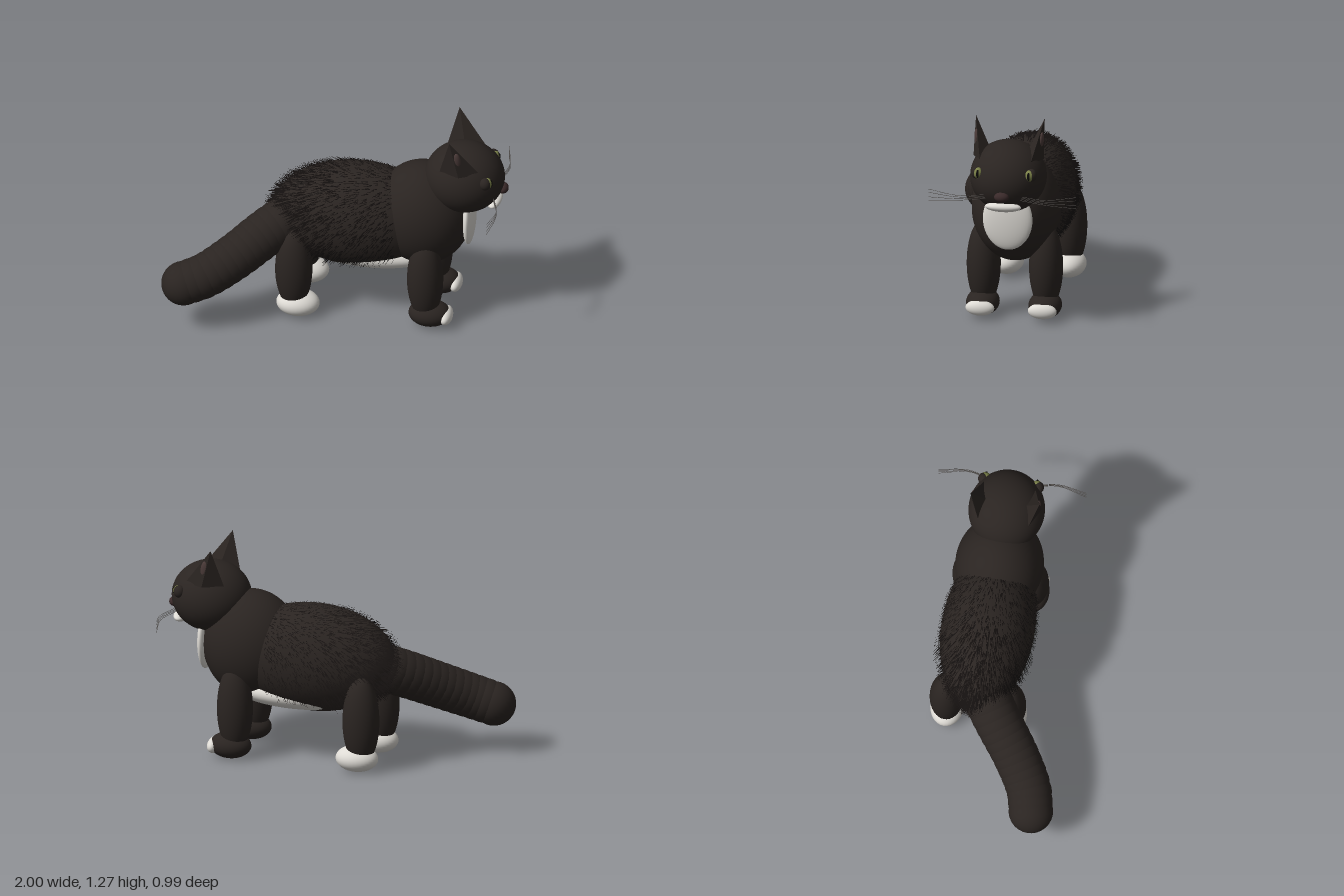
import * as THREE from 'three';

const mat = (color, side = THREE.FrontSide) => new THREE.MeshStandardMaterial({ color, side });
const COAT = mat(0x2a2421), WHITE = mat(0xdedbd5), OLIVE = mat(0x7a8048), BLACK = mat(0x0c0a09);
const NOSE = mat(0x3a2a2a), EAR = mat(0x4a3a38), HAIR = mat(0x14100f, THREE.DoubleSide), WHISKER = mat(0x55514e);
const MID = -0.063; // z of the body's plane of symmetry

const BODY = { c: [0.1, 0.615, 0], r: [0.5, 0.322, 0.275] };

export function createModel() {
  const root = new THREE.Group();
  root.name = 'cat';
  const cat = new THREE.Group();
  cat.name = 'catBody';
  cat.position.z = MID;
  root.add(cat);

  const add = (name, geo, material) => {
    const m = new THREE.Mesh(geo, material);
    m.name = name;
    cat.add(m);
    return m;
  };
  const blob = (name, material, c, r, seg = 32) => {
    const m = add(name, new THREE.SphereGeometry(1, seg, Math.round(seg * 0.75)), material);
    m.position.set(...c);
    m.scale.set(...r);
    return m;
  };

  // Torso, chest and head
  blob('torso', COAT, BODY.c, BODY.r, 48);
  blob('chest', COAT, [0.49, 0.66, 0], [0.29, 0.325, 0.26], 48);
  blob('head', COAT, [0.736, 0.928, 0], [0.237, 0.212, 0.225], 48);
  blob('bib', WHITE, [0.765, 0.665, 0], [0.037, 0.188, 0.148]);
  blob('belly', WHITE, [0.2, 0.4, 0], [0.42, 0.102, 0.2], 40);

  // Face
  blob('nose', NOSE, [0.965, 0.867, 0], [0.032, 0.03, 0.044], 24);
  blob('chin', WHITE, [0.915, 0.79, 0], [0.046, 0.03, 0.108]).rotation.z = 0.2;

  for (const s of [1, -1]) {
    const side = s > 0 ? 'right' : 'left';

    // Eyes
    blob(side + 'EyeRim', COAT, [0.882, 0.985, s * 0.164], [0.034, 0.038, 0.032], 24);
    blob(side + 'Eye', OLIVE, [0.892, 0.985, s * 0.154], [0.03, 0.034, 0.03], 24);
    blob(side + 'Pupil', BLACK, [0.914, 0.985, s * 0.152], [0.012, 0.026, 0.009], 16);

    // Ear: four-sided spike leaning back and outwards
    const ear = new THREE.ConeGeometry(0.12, 0.23, 4, 1).toNonIndexed();
    const p = ear.attributes.position;
    for (let i = 0; i < p.count; i++) {
      const t = p.getY(i) / 0.23 + 0.5;
      p.setXYZ(i, p.getX(i) + 0.73 - 0.055 * t, 1.04 + 0.23 * t, p.getZ(i) * 0.5 + s * (0.15 + 0.055 * t));
    }
    ear.computeVertexNormals();
    add(side + 'Ear', ear, COAT);
    blob(side + 'InnerEar', EAR, [0.713, 1.125, s * 0.184], [0.03, 0.075, 0.02], 24).rotation.x = s * 0.15;

    // Whiskers
    [0.88, 0.86, 0.832, 0.81].forEach((y, i) => {
      const path = new THREE.CatmullRomCurve3([
        new THREE.Vector3(0.92, 0.862 - i * 0.008, s * 0.1),
        new THREE.Vector3(0.963, 0.862 - i * 0.01, s * 0.26),
        new THREE.Vector3(0.932, y, s * 0.44),
      ]);
      add(side + 'Whisker' + (i + 1), new THREE.TubeGeometry(path, 10, 0.0014, 4), WHISKER);
    });

    // Legs and paws
    const z = s * 0.186;
    blob(side + 'FrontLeg', COAT, [0.53, 0.31, z], [0.107, 0.27, 0.1]);
    blob(side + 'FrontPaw', COAT, [0.557, 0.079, z], [0.125, 0.078, 0.098]);
    blob(side + 'FrontToes', WHITE, [0.655, 0.07, z], [0.04, 0.047, 0.086]);
    blob(side + 'RearLeg', COAT, [-0.25, 0.31, z], [0.11, 0.27, 0.1]);
    blob(side + 'RearPaw', WHITE, [-0.225, 0.079, z], [0.128, 0.078, 0.1]);
  }

  // Tail: chain of overlapping balls, giving soft rings
  const tail = new THREE.CatmullRomCurve3([
    [-0.22, 0.61, 0], [-0.4, 0.525, 0.13], [-0.6, 0.41, 0.295], [-0.75, 0.335, 0.39], [-0.868, 0.293, 0.423],
  ].map((a) => new THREE.Vector3(...a)));
  const BALLS = 16;
  for (let i = 0; i < BALLS; i++) {
    const t = i / (BALLS - 1), r = 0.145 - 0.014 * t;
    blob('tailSegment' + (i + 1), COAT, tail.getPointAt(t).toArray(), [r, r, r], 28);
  }

  // Fur: thin blades swept back over the torso, denser towards the rump
  let seed = 7;
  const rnd = () => ((seed = (seed * 16807) % 2147483647) / 2147483647);
  const verts = [];
  const n = new THREE.Vector3(), base = new THREE.Vector3(), dir = new THREE.Vector3(), w = new THREE.Vector3();
  for (let i = 0; i < 5000; i++) {
    const u = -1 + 1.5 * Math.pow(rnd(), 1.3), a = rnd() * Math.PI * 2, k = Math.sqrt(1 - u * u);
    const unit = [u, k * Math.cos(a), k * Math.sin(a)];
    if (unit[1] < -0.75) continue;
    base.fromArray(unit.map((v, j) => BODY.c[j] + v * BODY.r[j]));
    n.fromArray(unit.map((v, j) => v / BODY.r[j])).normalize();
    dir.copy(n).multiplyScalar(0.55).add(w.set(-0.55, -0.35, 0)).normalize();
    const len = (0.035 + 0.03 * rnd()) * (u < -0.2 ? 1 : 0.65);
    w.crossVectors(n, dir);
    if (w.lengthSq() < 1e-6) w.set(0, 0, 1);
    w.normalize().multiplyScalar(0.003);
    const tip = base.clone().addScaledVector(dir, len);
    verts.push(...base.clone().add(w).toArray(), ...base.clone().sub(w).toArray(), ...tip.toArray());
  }
  const fur = new THREE.BufferGeometry();
  fur.setAttribute('position', new THREE.Float32BufferAttribute(verts, 3));
  fur.computeVertexNormals();
  add('fur', fur, HAIR);

  return root;
}
